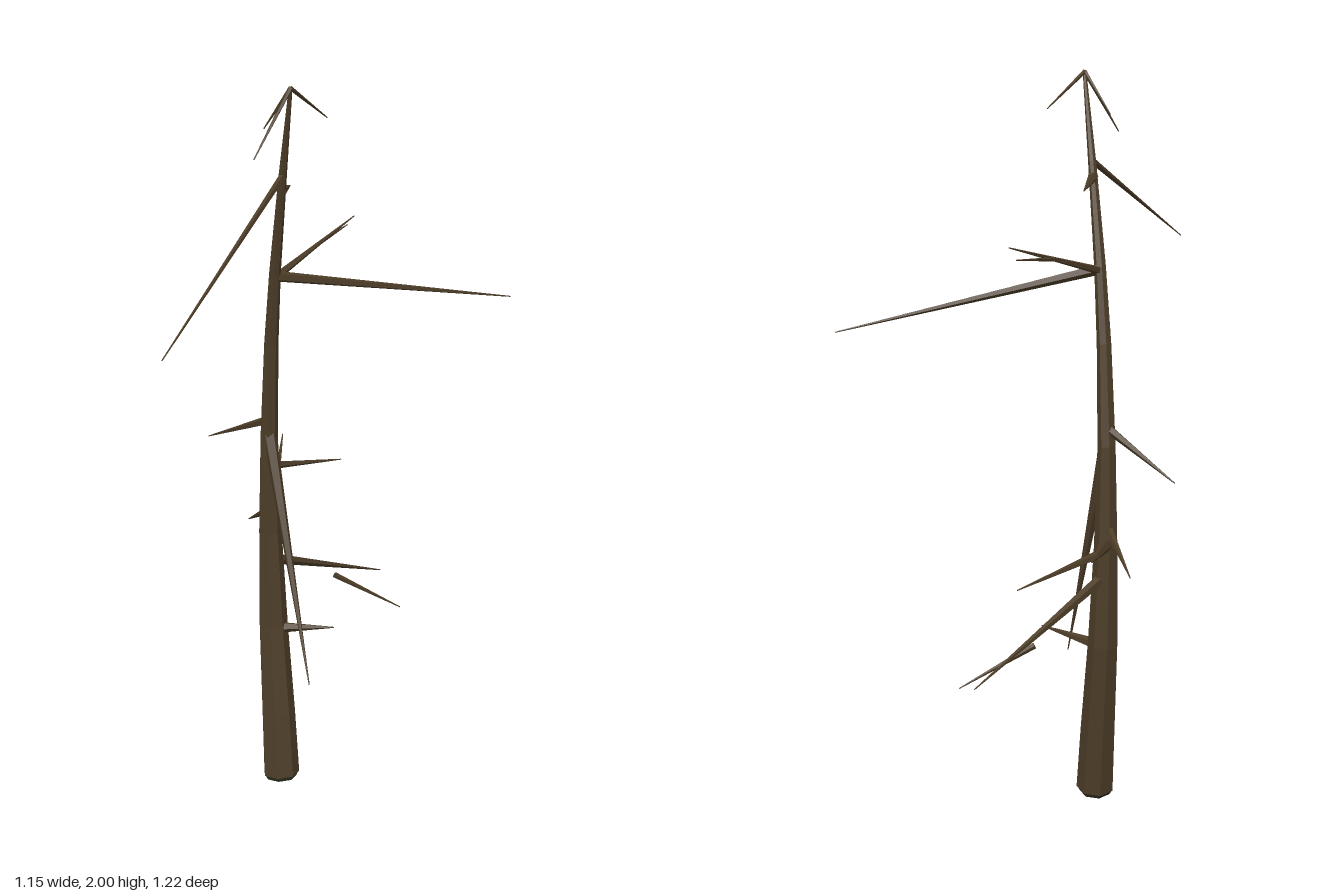
import * as THREE from 'three';

const bark = new THREE.MeshStandardMaterial({ color: 0x4d3d28, flatShading: true });
bark.name = 'bark';
const base = new THREE.MeshStandardMaterial({ color: 0x2f3020, flatShading: true });
base.name = 'darkBase';

// Faceted tube through rings of [x, y, z, radius], closed at both ends
function limb(name, rings, sides, material = bark) {
  const points = rings.map(([x, y, z]) => new THREE.Vector3(x, y, z));
  const pos = [], index = [];
  const up = new THREE.Vector3(0, 1, 0);
  rings.forEach((ring, i) => {
    const dir = points[Math.min(i + 1, points.length - 1)].clone()
      .sub(points[Math.max(i - 1, 0)]).normalize();
    const turn = new THREE.Quaternion().setFromUnitVectors(up, dir);
    for (let k = 0; k < sides; k++) {
      const a = (k + 0.5) / sides * Math.PI * 2;
      const p = new THREE.Vector3(Math.sin(a), 0, Math.cos(a))
        .multiplyScalar(ring[3]).applyQuaternion(turn).add(points[i]);
      pos.push(p.x, p.y, p.z);
    }
  });
  const last = rings.length - 1;
  for (let i = 0; i < last; i++) {
    for (let k = 0; k < sides; k++) {
      const a = i * sides + k, b = i * sides + (k + 1) % sides;
      index.push(a, b, b + sides, a, b + sides, a + sides);
    }
  }
  for (let k = 1; k < sides - 1; k++) {
    index.push(0, k + 1, k);
    index.push(last * sides, last * sides + k, last * sides + k + 1);
  }
  const geometry = new THREE.BufferGeometry();
  geometry.setAttribute('position', new THREE.Float32BufferAttribute(pos, 3));
  geometry.setIndex(index);
  geometry.computeVertexNormals();
  const mesh = new THREE.Mesh(geometry, material);
  mesh.name = name;
  return mesh;
}

// Straight tapering spike from one point to another
const spike = (name, from, to, radius) =>
  limb(name, [[...from, radius], [...to, 0.0015]], 5);

export function createModel() {
  const tree = new THREE.Group();
  tree.name = 'bareTree';

  // Leaning trunk with a slim dark foot
  tree.add(limb('trunk', [
    [-0.133, 0.02, -0.064, 0.053], [-0.134, 0.21, -0.087, 0.049],
    [-0.137, 0.47, -0.119, 0.042], [-0.139, 0.75, -0.133, 0.033],
    [-0.139, 1.03, -0.132, 0.025], [-0.137, 1.3, -0.105, 0.02],
    [-0.133, 1.5, -0.074, 0.016], [-0.126, 1.77, -0.012, 0.011],
    [-0.12, 1.995, 0.047, 0.005],
  ], 7));
  tree.add(limb('foot', [
    [-0.133, 0.007, -0.062, 0.044], [-0.133, 0.022, -0.064, 0.052],
  ], 7, base));

  // Drooping crown twigs
  const apex = [-0.12, 1.997, 0.047];
  [[-0.235, 1.837, 0.12], [0.004, 1.907, -0.048], [-0.172, 1.89, -0.02]]
    .forEach((tip, i) => tree.add(spike('crownTwig' + (i + 1), apex, tip, 0.006)));

  // Branches and their side twigs, from top to bottom
  [
    ['upperFrontBranch', [-0.126, 1.77, -0.012], [-0.577, 1.49, 0.61], 0.009],
    ['upperStub', [-0.127, 1.73, -0.02], [-0.055, 1.71, -0.195], 0.014],
    ['upperSideBranch', [-0.133, 1.495, -0.074], [0.575, 1.37, -0.153], 0.015],
    ['upperBackBranch', [-0.133, 1.49, -0.074], [0.167, 1.59, -0.325], 0.011],
    ['upperBackTwig', [0.03, 1.543, -0.215], [0.153, 1.562, -0.345], 0.006],
    ['middleBackBranch', [-0.139, 1.08, -0.128], [-0.26, 0.976, -0.344], 0.013],
    ['hangingBranch', [-0.139, 1.04, -0.125], [-0.094, 0.375, 0.1], 0.02],
    ['lowerStub', [-0.139, 0.815, -0.133], [-0.153, 0.72, -0.317], 0.013],
    ['longBackBranch', [-0.139, 0.755, -0.133], [0.032, 0.868, -0.61], 0.019],
    ['longBackTwig', [-0.025, 0.83, -0.445], [0.2, 0.79, -0.546], 0.011],
    ['lowerBackBranch', [-0.139, 0.67, -0.13], [0.275, 0.478, -0.383], 0.016],
    ['looseTwig', [0.09, 0.535, -0.26], [0.285, 0.42, -0.226], 0.009],
    ['lowestStub', [-0.137, 0.46, -0.118], [0.008, 0.492, 0.0], 0.018],
  ].forEach(b => tree.add(spike(...b)));

  return tree;
}
